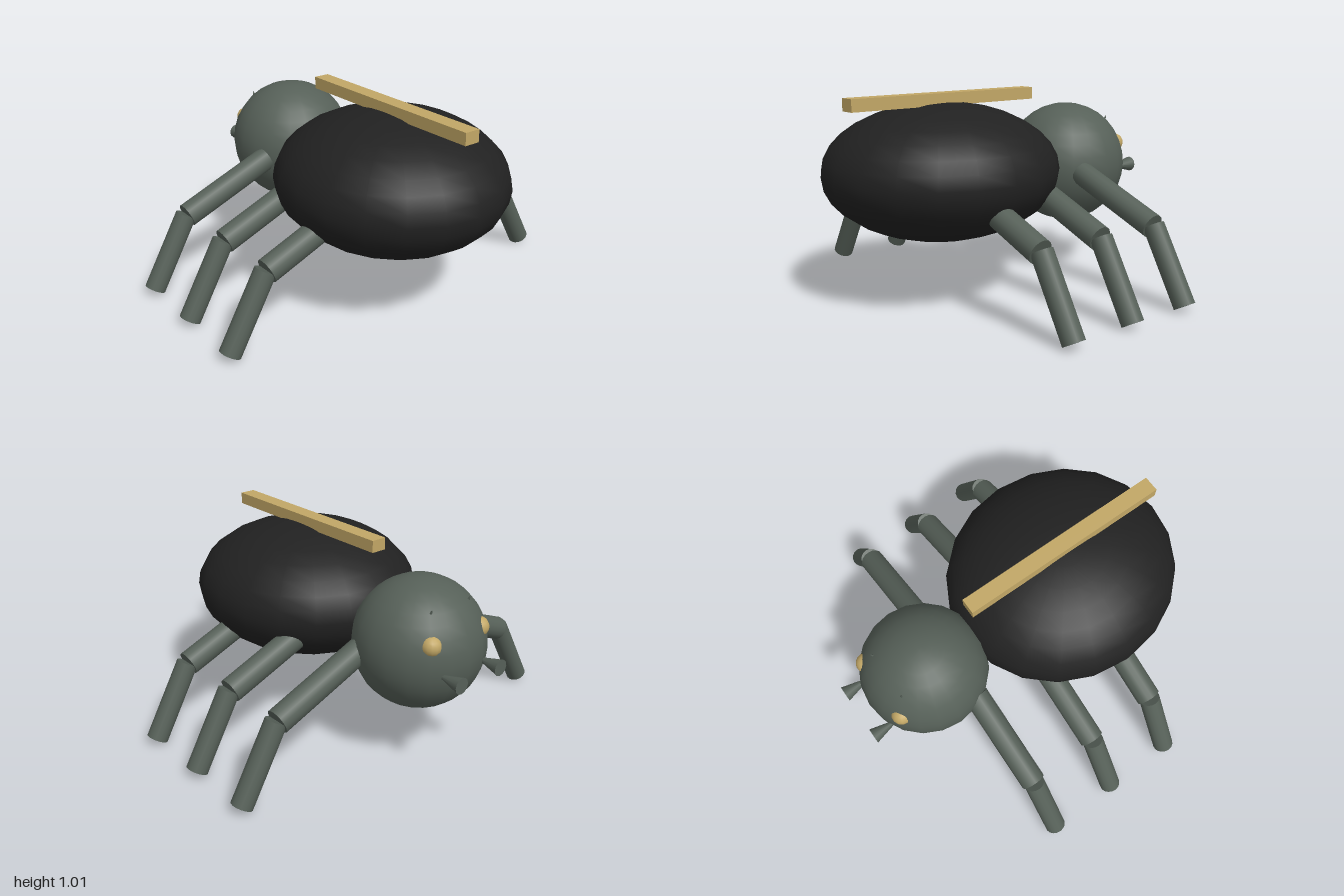
import * as THREE from 'three';

const grey = new THREE.MeshStandardMaterial({ color: 0x566058 });
grey.name = 'slate grey';
const black = new THREE.MeshStandardMaterial({ color: 0x212121 });
black.name = 'shell black';
const gold = new THREE.MeshStandardMaterial({ color: 0xc2a766 });
gold.name = 'dull gold';

export function createModel() {
  const model = new THREE.Group();
  model.name = 'beetle';

  function add(name, geometry, material, x = 0, y = 0, z = 0) {
    const mesh = new THREE.Mesh(geometry, material);
    mesh.name = name;
    mesh.position.set(x, y, z);
    model.add(mesh);
    return mesh;
  }

  // Cylinder or cone running from point a to point b
  function rod(name, a, b, rA, rB, sides = 16) {
    const from = new THREE.Vector3(...a);
    const dir = new THREE.Vector3(...b).sub(from);
    const geometry = new THREE.CylinderGeometry(rB, rA, dir.length(), sides);
    const mid = from.clone().addScaledVector(dir, 0.5);
    const mesh = add(name, geometry, grey, mid.x, mid.y, mid.z);
    mesh.quaternion.setFromUnitVectors(new THREE.Vector3(0, 1, 0), dir.normalize());
    return mesh;
  }

  // Shell, head and the stripe along the back
  add('abdomen', new THREE.SphereGeometry(1, 20, 16), black, 0, 0.64, 0.315).scale.set(0.56, 0.335, 0.6);
  add('head', new THREE.SphereGeometry(0.322, 20, 16), grey, 0, 0.597, -0.53);
  add('backStripe', new THREE.BoxGeometry(0.08, 0.06, 1.08), gold, 0, 0.99, 0.295);

  for (const side of [1, -1]) {
    const label = side > 0 ? 'left' : 'right';

    // Three bent legs on each side
    [-0.4, -0.032, 0.338].forEach((z, i) => {
      rod(`${label}UpperLeg${i + 1}`, [side * 0.26, 0.578, z], [side * 0.743, 0.383, z], 0.062, 0.062);
      rod(`${label}LowerLeg${i + 1}`, [side * 0.75, 0.39, z], [side * 0.955, 0.032, z], 0.053, 0.053);
    });

    // Eye, flared mandible and the tip of a small horn
    add(`${label}Eye`, new THREE.SphereGeometry(0.05, 14, 10), gold, side * 0.157, 0.696, -0.754);
    rod(`${label}Mandible`, [side * 0.13, 0.555, -0.77], [side * 0.13, 0.555, -0.92], 0.001, 0.04, 12);
    rod(`${label}Horn`, [side * 0.118, 0.79, -0.695], [side * 0.125, 0.845, -0.72], 0.016, 0.002, 8);
  }

  return model;
}
